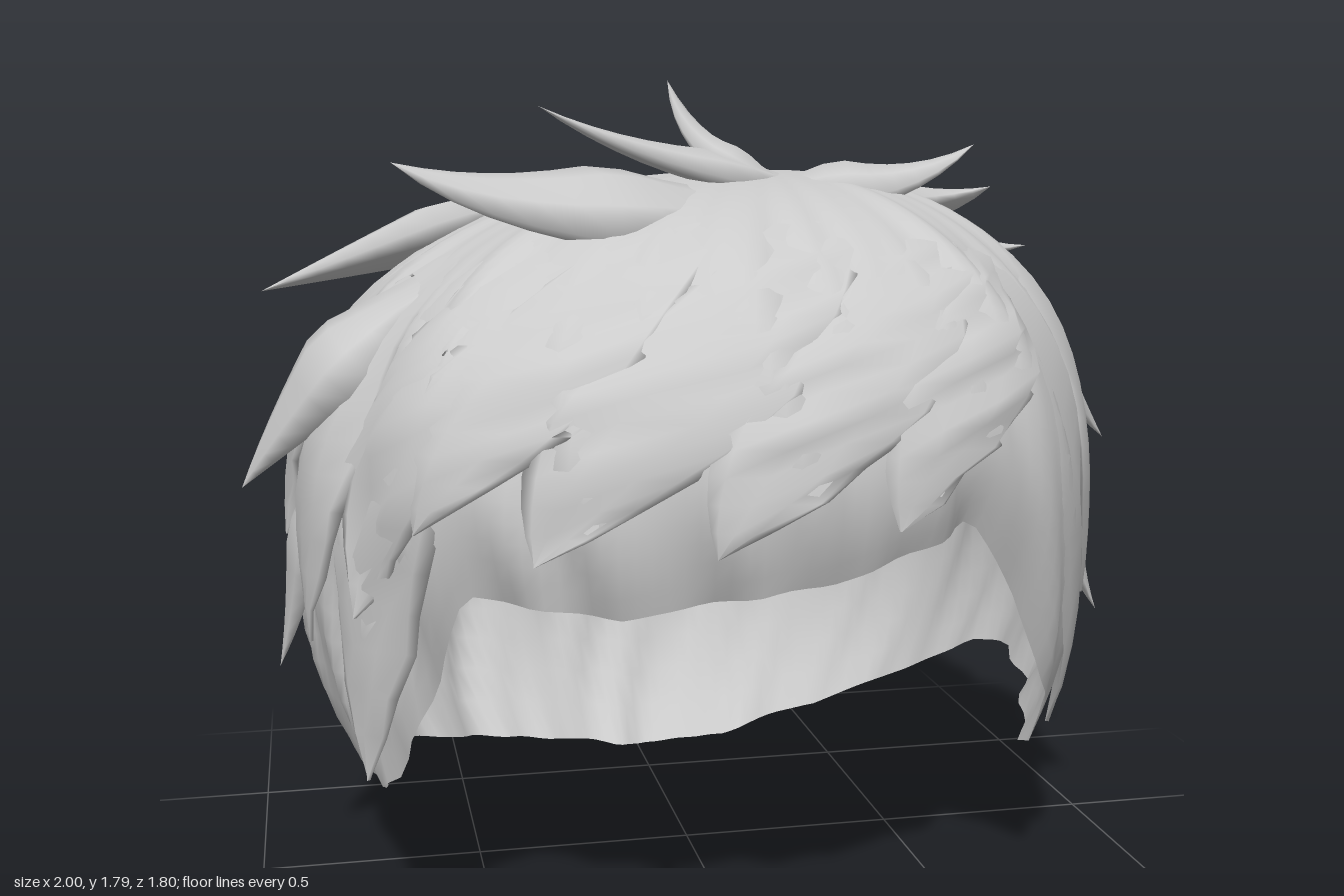
import * as THREE from 'three';

const mat = new THREE.MeshStandardMaterial({ color: 0xcccccc, side: THREE.DoubleSide });
const V = (x, y, z) => new THREE.Vector3(x, y, z);
const TOP = 1.59, MID = 0.85, R = 0.88;

// Hem height by azimuth in degrees (0 = front, positive towards +x)
const HEM = [
  [-180, 0], [-140, 0.09], [-112, 0.2], [-90, 0.31], [-78, 0.34], [-65, 0.3], [-58, 0.36],
  [-48, 0.6], [-41, 0.8], [-20, 0.77], [0, 0.82], [13, 0.84], [31, 0.92], [40, 0.74], [48, 0.53],
  [60, 0.33], [66, 0.3], [78, 0.38], [90, 0.43], [102, 0.4], [120, 0.26], [140, 0.12], [160, 0.03], [180, 0],
];
function hemAt(deg) {
  let i = 1;
  while (i < HEM.length - 1 && HEM[i][0] < deg) i++;
  const [a, ya] = HEM[i - 1], [b, yb] = HEM[i];
  return ya + (yb - ya) * (deg - a) / (b - a);
}

// Point on the combed head: rounded crown set off-centre, slightly square plan, tucked nape
function onHead(deg, y, lift = 0) {
  const a = deg * Math.PI / 180;
  const p = 2.4 + 0.2 * Math.cos(a);
  const t = Math.min(1, Math.abs(y - MID) / (y < MID ? MID : TOP - MID));
  const k = y < MID ? 1 - 0.2 * t ** 3 : (1 - t ** p) ** (1 / p);
  const u = a + 0.35 * (y - MID);
  const ridge = 0.011 * Math.sin(9 * u + 1) + 0.009 * Math.sin(16 * u + 2 - y)
    + 0.009 * Math.sin(25 * u + 4 * y) + 0.006 * Math.sin(38 * u - 3 * y);
  const plan = 1 + 0.03 * Math.sin(2 * a) ** 2;
  const r = R * k * plan + ridge * Math.min(1, k * 1.3) + lift;
  return V(Math.sin(a) * r + 0.2 * (1 - k) * (y > MID), y, Math.cos(a) * r - 0.1 * (1 - k) * (y > MID));
}

// Indexed surface from a grid of points; columns wrap round
function gridMesh(name, rows, cols, pointAt) {
  const pos = [], idx = [];
  for (let i = 0; i <= rows; i++)
    for (let j = 0; j < cols; j++) pos.push(...pointAt(i / rows, j / cols).toArray());
  for (let i = 0; i < rows; i++)
    for (let j = 0; j < cols; j++) {
      const k = (j + 1) % cols, a = i * cols + j, b = i * cols + k, c = a + cols, d = b + cols;
      idx.push(a, c, b, b, c, d);
    }
  const g = new THREE.BufferGeometry();
  g.setAttribute('position', new THREE.Float32BufferAttribute(pos, 3));
  g.setIndex(idx);
  g.computeVertexNormals();
  const m = new THREE.Mesh(g, mat);
  m.name = name;
  return m;
}

// Flat lock hugging the head from (d0, y0) to a pointed tip at (d1, y1), lifting at the tip
function lock(name, [d0, y0, d1, y1, width, lift]) {
  return gridMesh(name, 14, 10, (u, v) => {
    const a = v * Math.PI * 2, s = Math.sin(a);
    const taper = u < 0.55 ? 0.75 + 0.25 * u / 0.55 : 1 - ((u - 0.55) / 0.45) ** 1.6;
    const puff = 0.024 * Math.sin(Math.PI * Math.min(1, u * 0.9)) * (s > 0 ? s : s * 0.2);
    return onHead(d0 + (d1 - d0) * u - Math.cos(a) * width * taper, y0 + (y1 - y0) * u ** 1.3,
      -0.008 + lift * u ** 2 + puff);
  });
}

// Free-standing tuft: broad merged root, sharp tip
function spike([root, mid, tip, width, thick]) {
  const curve = new THREE.QuadraticBezierCurve3(V(...root), V(...mid), V(...tip));
  return gridMesh('spike', 10, 8, (u, v) => {
    const p = curve.getPoint(u), t = curve.getTangent(u);
    const out = p.clone().sub(V(0, 0.75, 0)).normalize();
    const side = t.clone().cross(out).normalize();
    const nor = side.clone().cross(t).normalize();
    const a = v * Math.PI * 2, s = Math.sin(a);
    const rise = Math.min(1, u / 0.35), taper = u < 0.35 ? 1 : (1 - u) / 0.65;
    return p.addScaledVector(side, Math.cos(a) * width * taper * (0.4 + 0.6 * rise))
      .addScaledVector(nor, (s > 0 ? s : s * 0.6) * thick * taper * rise);
  });
}

export function createModel() {
  const model = new THREE.Group();
  model.name = 'hair';

  // Main shell, hem turned in a little
  model.add(gridMesh('hairShell', 34, 180, (s, v) => {
    const deg = v * 360 - 180, yh = hemAt(deg);
    return onHead(deg, TOP - (TOP - yh) * s ** 1.9, -0.05 * Math.max(0, (s - 0.82) / 0.18) ** 2);
  }));

  // Stray spikes: root, bend, tip, width, thickness
  [
    [[0.22, 1.56, 0.14], [0, 1.58, 0.08], [-0.05, 1.79, 0.03], 0.1, 0.05],
    [[0.3, 1.56, 0.02], [-0.1, 1.58, 0.17], [-0.37, 1.73, 0.29], 0.13, 0.05],
    [[0.12, 1.53, 0.24], [-0.4, 1.47, 0.38], [-0.68, 1.62, 0.43], 0.17, 0.09],
    [[0.12, 1.56, 0.06], [0.42, 1.49, 0.13], [0.62, 1.65, 0.17], 0.16, 0.08],
    [[0.3, 1.53, -0.16], [0.55, 1.45, -0.09], [0.74, 1.55, -0.03], 0.14, 0.08],
    [[0.35, 1.5, 0.05], [0.6, 1.38, 0.05], [0.78, 1.42, 0.1], 0.14, 0.06],
    [[-0.3, 1.51, -0.22], [-0.66, 1.41, -0.13], [-0.95, 1.33, -0.07], 0.15, 0.08],
    [[-0.62, 1.37, 0.24], [-0.86, 1.12, 0.22], [-1, 0.94, 0.2], 0.16, 0.09],
    [[-0.84, 1, 0.1], [-0.87, 0.72, 0.1], [-0.94, 0.51, 0.08], 0.13, 0.05],
    [[0.72, 1.33, 0.05], [0.87, 1.1, 0.07], [1, 0.96, 0.08], 0.13, 0.06],
    [[0.85, 0.95, 0.1], [0.87, 0.72, 0.14], [0.96, 0.56, 0.17], 0.11, 0.05],
  ].forEach((s) => model.add(spike(s)));

  // Long layered locks on both sides: root azimuth and height, tip azimuth and height, width, lift
  const sides = [
    [48, 1.46, 64, 0.36, 12, 0], [66, 1.48, 76, 0.62, 11, 0.03], [88, 1.48, 92, 0.8, 12, 0.02],
    [104, 1.48, 110, 0.55, 11, 0.02], [118, 1.5, 124, 0.8, 11, 0.05], [128, 1.5, 133, 0.42, 10, 0.04],
    [140, 1.5, 146, 0.75, 10, 0.04], [150, 1.48, 157, 0.25, 10, 0.02],
  ];
  for (const side of [-1, 1])
    for (const [d0, y0, d1, y1, w, l] of sides)
      model.add(lock('sideLock', [side * d0, y0, side * d1 + (side < 0 ? 4 : 0), y1, w, l]));

  // Fringe swept from the parting down across the brow
  [
    [48, 1.46, 16, 0.93, 14, 0.01], [34, 1.48, -8, 0.9, 16, 0.02], [10, 1.5, -30, 0.88, 17, 0.015],
    [-18, 1.5, -46, 0.92, 15, 0.02], [-40, 1.48, -58, 0.72, 12, 0.02],
  ].forEach((f) => model.add(lock('fringeLock', f)));

  return model;
}
